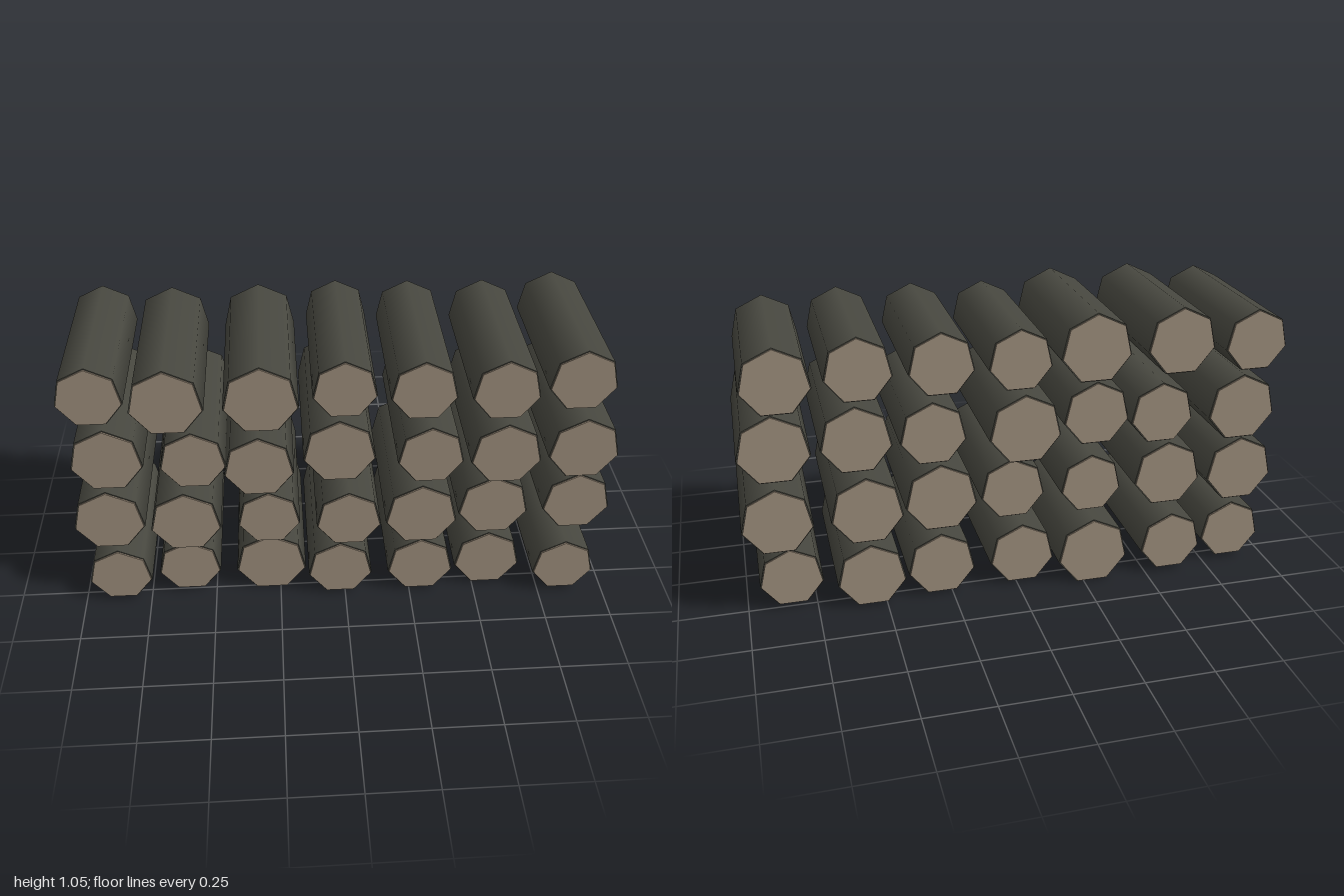
import * as THREE from 'three';

const SIDES = 7;
const LENGTH = 0.612; // overall, including both cut ends
const LIP = 0.006; // how far each cut end stands proud of the bark

// Each row: height of the log centres, then [x, radius, z of the front end]
const ROWS = [
  { y: 0.124, logs: [
    [-0.857, 0.12, 0.298], [-0.596, 0.12, 0.263], [-0.283, 0.136, 0.262], [-0.019, 0.124, 0.311],
    [0.289, 0.127, 0.31], [0.551, 0.128, 0.29], [0.837, 0.118, 0.35]] },
  { y: 0.387, logs: [
    [-0.871, 0.133, 0.293], [-0.589, 0.132, 0.32], [-0.283, 0.117, 0.313], [0.011, 0.122, 0.34],
    [0.281, 0.135, 0.33], [0.556, 0.133, 0.293], [0.872, 0.129, 0.288]] },
  { y: 0.649, logs: [
    [-0.853, 0.132, 0.28], [-0.545, 0.121, 0.3], [-0.31, 0.127, 0.352], [-0.019, 0.135, 0.277],
    [0.307, 0.122, 0.32], [0.578, 0.13, 0.33], [0.864, 0.131, 0.315]] },
  { y: 0.912, logs: [
    [-0.885, 0.12, 0.272], [-0.618, 0.132, 0.325], [-0.294, 0.135, 0.327], [0, 0.117, 0.278],
    [0.275, 0.12, 0.303], [0.561, 0.122, 0.318], [0.842, 0.124, 0.272]] },
];

// Seven-sided prism along z with one corner pointing up
function prism(radius, length) {
  return new THREE.CylinderGeometry(radius, radius, length, SIDES, 1, false, Math.PI)
    .rotateX(Math.PI / 2);
}

export function createModel() {
  const bark = new THREE.MeshStandardMaterial({ color: 0x484840 });
  bark.name = 'bark';
  const cutWood = new THREE.MeshStandardMaterial({ color: 0x9b8c7a });
  cutWood.name = 'cutWood';

  function makeLog(radius) {
    const log = new THREE.Group();
    log.name = 'log';
    const trunk = new THREE.Mesh(prism(radius, LENGTH - 2 * LIP), bark);
    trunk.name = 'bark';
    log.add(trunk);
    // Slightly smaller cut faces on both ends
    for (const side of [1, -1]) {
      const end = new THREE.Mesh(prism(radius * 0.965, LIP), cutWood);
      end.name = side > 0 ? 'frontCut' : 'backCut';
      end.position.z = side * (LENGTH - LIP) / 2;
      log.add(end);
    }
    return log;
  }

  const model = new THREE.Group();
  model.name = 'logStack';
  ROWS.forEach(({ y, logs }, i) => {
    const row = new THREE.Group();
    row.name = `logRow${i + 1}`;
    for (const [x, radius, front] of logs) {
      const log = makeLog(radius);
      log.position.set(x, y, front - LENGTH / 2);
      row.add(log);
    }
    model.add(row);
  });
  return model;
}
